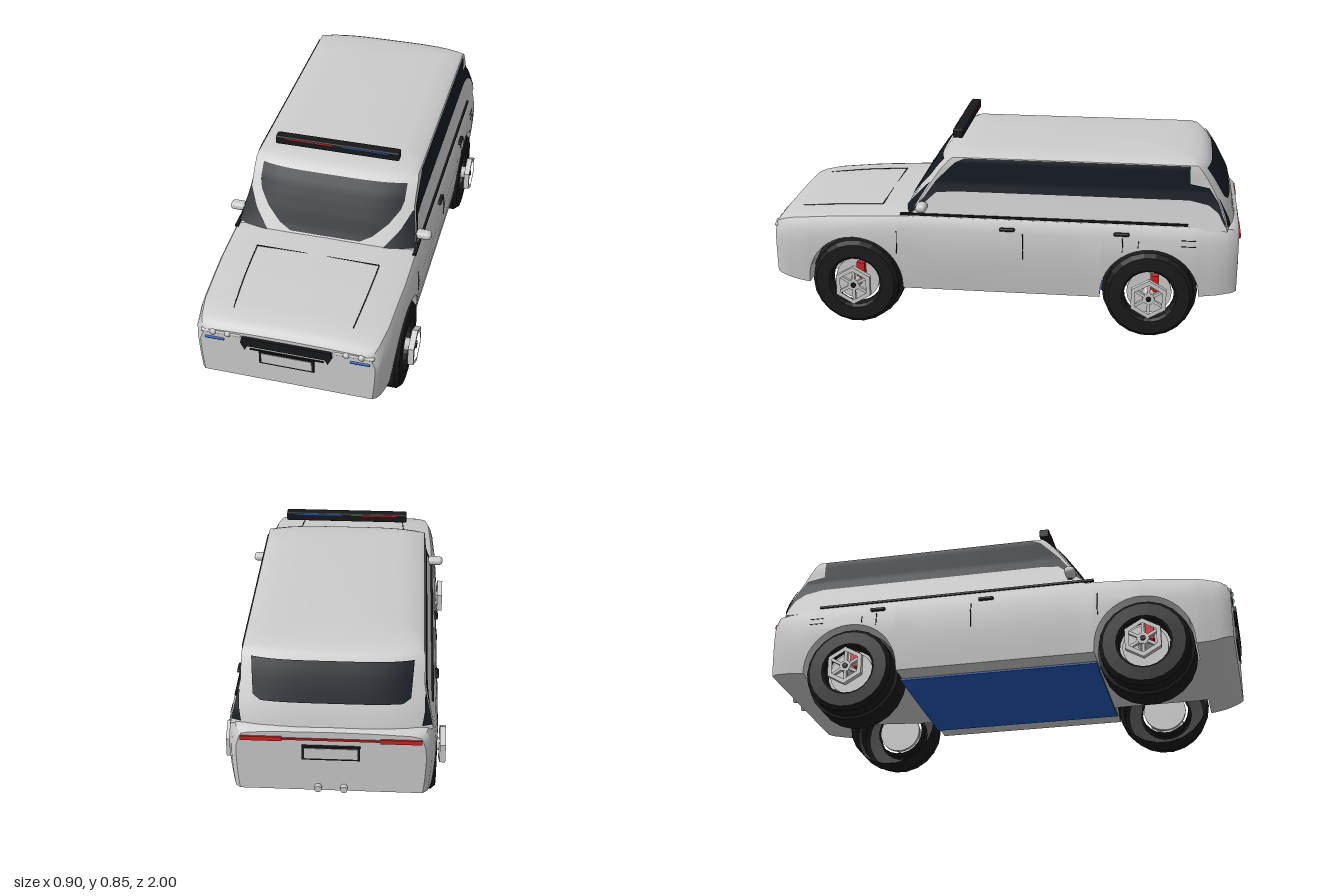
import * as THREE from 'three';
import { toCreasedNormals } from 'three/addons/utils/BufferGeometryUtils.js';
import { RoundedBoxGeometry } from 'three/addons/geometries/RoundedBoxGeometry.js';

const mat = (color, extra = {}) => new THREE.MeshStandardMaterial({ color, ...extra });
const DS = { side: THREE.DoubleSide };
const grey = mat(0xcccccc), black = mat(0x17181a), glass = mat(0x151b23, DS), red = mat(0xcc2222), blue = mat(0x2358b8);
const rubber = mat(0x1a1a1a, { ...DS, flatShading: true });

// Linear lookup in a table of [position, value], positions ascending
function lerp(table, t) {
  if (t <= table[0][0]) return table[0][1];
  for (let i = 1; i < table.length; i++) {
    const [a, va] = table[i - 1], [b, vb] = table[i];
    if (t <= b) return va + (vb - va) * (t - a) / (b - a);
  }
  return table[table.length - 1][1];
}

// Closed skin through rings of equal length, capped at both ends
function loft(rings, crease) {
  const n = rings[0].length, pos = rings.flat(2), idx = [];
  for (let i = 0; i < rings.length - 1; i++) for (let j = 0; j < n; j++) {
    const k = (j + 1) % n, a = i * n + j, b = i * n + k;
    idx.push(a, b, b + n, a, b + n, a + n);
  }
  [0, rings.length - 1].forEach((r, last) => {
    const c = [0, 1, 2].map(k => rings[r].reduce((s, p) => s + p[k], 0) / n);
    const ci = pos.length / 3;
    pos.push(...c);
    for (let j = 0; j < n; j++) {
      const a = r * n + j, b = r * n + (j + 1) % n;
      idx.push(ci, last ? a : b, last ? b : a);
    }
  });
  const g = new THREE.BufferGeometry();
  g.setAttribute('position', new THREE.Float32BufferAttribute(pos, 3));
  g.setIndex(idx);
  return toCreasedNormals(g, crease);
}

// Thin panel: rows of [u, v0, v1] laid on a surface map(u, v)
function panel(rows, map, sub = 4, across = 14) {
  const pos = [], idx = [], steps = (rows.length - 1) * sub;
  for (let i = 0; i <= steps; i++) {
    const r = Math.min(Math.floor(i / sub), rows.length - 2), f = i / sub - r;
    const [u, a, b] = rows[r].map((v, k) => v + (rows[r + 1][k] - v) * f);
    for (let j = 0; j <= across; j++) {
      pos.push(...map(u, a + (b - a) * j / across));
      if (i < steps && j < across) {
        const q = i * (across + 1) + j, w = q + across + 1;
        idx.push(q, q + 1, w + 1, q, w + 1, w);
      }
    }
  }
  const g = new THREE.BufferGeometry();
  g.setAttribute('position', new THREE.Float32BufferAttribute(pos, 3));
  g.setIndex(idx);
  g.computeVertexNormals();
  return g;
}

// Lower body shape along z
const wheelZ = [-0.62, 0.63], archR = 0.205;
const W = z => lerp([[-0.98, 0.365], [-0.96, 0.385], [-0.9, 0.402], [-0.8, 0.41], [0.6, 0.41], [0.85, 0.398], [0.94, 0.382], [0.97, 0.37], [0.985, 0.355]], z);
const T = z => lerp([[-0.98, 0.485], [-0.965, 0.5], [-0.9, 0.51], [0.43, 0.51], [0.7, 0.496], [0.88, 0.48], [0.94, 0.468], [0.97, 0.455], [0.985, 0.438]], z);
const bottom = z => lerp([[-0.98, 0.22], [-0.8, 0.2], [-0.45, 0.18], [0.8, 0.18], [0.9, 0.19], [0.985, 0.215]], z);
const bulge = y => y < 0.4 ? 1 - 0.035 * ((0.4 - y) / 0.2) ** 2 : 1 - 0.3 * (y - 0.4);
const sideX = (y, z) => W(z) * bulge(y);

function bodySection(z) {
  const w = W(z), t = T(z), yb = bottom(z);
  let ya = yb;
  for (const c of wheelZ) if (Math.abs(z - c) <= archR) ya = 0.2 + Math.sqrt(archR ** 2 - (z - c) ** 2);
  const half = [[0.215, yb], [0.215, ya]];
  for (let k = 0; k <= 4; k++) {
    const y = ya + (t - 0.06 - ya) * k / 4;
    half.push([w * bulge(y), y]);
  }
  half.push([w * 0.968, t - 0.028], [w * 0.94, t - 0.008], [w * 0.86, t], [w * 0.45, t + 0.006]);
  const right = half.map(([x, y]) => [x, y, z]);
  const left = half.map(([x, y]) => [-x, y, z]).reverse();
  return [[0, yb, z], ...right, [0, t + 0.008, z], ...left];
}

// Cabin shape by height: windscreen, tailgate and half width
const zf = y => lerp([[0.49, 0.44], [0.55, 0.4], [0.6, 0.37], [0.65, 0.338], [0.7, 0.304], [0.74, 0.268], [0.755, 0.25], [0.767, 0.225], [0.776, 0.185], [0.782, 0.1]], y);
const zr = y => lerp([[0.49, -0.968], [0.55, -0.955], [0.6, -0.935], [0.65, -0.91], [0.7, -0.882], [0.74, -0.855], [0.755, -0.84], [0.767, -0.815], [0.776, -0.77], [0.782, -0.65]], y);
const hw = y => lerp([[0.49, 0.388], [0.55, 0.374], [0.6, 0.361], [0.65, 0.351], [0.74, 0.35], [0.755, 0.346], [0.767, 0.325], [0.776, 0.25], [0.782, 0.12]], y);
const bow = (x, y) => 0.04 * Math.min(1, Math.abs(x) / hw(y)) ** 4;
const frontZ = (x, y) => zf(y) - bow(x, y), rearZ = (x, y) => zr(y) + bow(x, y);

function cabinRing(y) {
  const h = hw(y), ring = [], n = 16, m = 8;
  for (let i = 0; i <= n; i++) { const x = -h + 2 * h * i / n; ring.push([x, y, frontZ(x, y)]); }
  const a = frontZ(h, y), b = rearZ(h, y);
  for (let i = 1; i < m; i++) ring.push([h, y, a + (b - a) * i / m]);
  for (let i = 0; i <= n; i++) { const x = h - 2 * h * i / n; ring.push([x, y, rearZ(x, y)]); }
  for (let i = 1; i < m; i++) ring.push([-h, y, b + (a - b) * i / m]);
  return ring;
}

// Wheel with its axle on x, outside towards +x, axle centre at the origin of the group
function makeWheel(add) {
  const wheel = new THREE.Group();
  wheel.name = 'wheel';
  const turn = (name, g, m, x = 0) => add(name, g.rotateZ(-Math.PI / 2), m, x, 0, 0, wheel);
  const profile = [[0.2, 0.22], [0.2, 0.33], [0.186, 0.335], [0.186, 0.392], [0.17, 0.41], [0.115, 0.412], [0.105, 0.4], [0.105, 0.35]];
  turn('tyre', new THREE.LatheGeometry(profile.map(p => new THREE.Vector2(...p)), 22), rubber);
  turn('rimDisc', new THREE.CylinderGeometry(0.094, 0.094, 0.015, 28), grey, 0.352);
  turn('hub', new THREE.CylinderGeometry(0.026, 0.03, 0.08, 6), grey, 0.4);
  turn('hubCap', new THREE.CylinderGeometry(0.011, 0.011, 0.01, 12), black, 0.442);
  // hexagonal outer ring with spokes
  const hex = (shape, r) => {
    const pts = [...Array(6)].map((_, i) => new THREE.Vector2(r * Math.sin(i * Math.PI / 3), r * Math.cos(i * Math.PI / 3)));
    return shape.setFromPoints(pts);
  };
  const ring = hex(new THREE.Shape(), 0.084);
  ring.holes.push(hex(new THREE.Path(), 0.064));
  add('rimRing', new THREE.ExtrudeGeometry(ring, { depth: 0.024, bevelEnabled: false }).rotateY(Math.PI / 2), grey, 0.425, 0, 0, wheel);
  for (let i = 0; i < 6; i++)
    add('spoke', new THREE.BoxGeometry(0.016, 0.05, 0.012).translate(0, 0.045, 0).rotateX(i * Math.PI / 3), grey, 0.43, 0, 0, wheel);
  add('brakeCaliper', new THREE.BoxGeometry(0.03, 0.07, 0.035), red, 0.38, 0.05, -0.022, wheel);
  return wheel;
}

export function createModel() {
  const car = new THREE.Group();
  car.name = 'car';
  const add = (name, g, m, x = 0, y = 0, z = 0, parent = car) => {
    const mesh = new THREE.Mesh(g, m);
    mesh.name = name;
    mesh.position.set(x, y, z);
    parent.add(mesh);
    return mesh;
  };
  const box = (name, m, w, h, d, x, y, z) => add(name, new THREE.BoxGeometry(w, h, d), m, x, y, z);
  const rod = (name, pts, r, m) => add(name, new THREE.TubeGeometry(new THREE.CatmullRomCurve3(pts.map(p => new THREE.Vector3(...p))), 24, r, 5), m);

  // Lower body, with extra sections around the wheel arches
  const zs = [-0.98, -0.96, -0.93, -0.9, -0.86, 0.3, 0.1, -0.1, -0.3, 0.85, 0.88, 0.91, 0.94, 0.97, 0.985];
  for (const c of wheelZ) {
    zs.push(c - archR - 0.001, c + archR + 0.001);
    for (let i = 0; i <= 20; i++) zs.push(c - archR * 0.9999 * Math.cos(i * Math.PI / 20));
  }
  add('body', loft(zs.sort((a, b) => a - b).map(bodySection), 0.6), grey);
  add('cabin', loft([0.49, 0.55, 0.6, 0.65, 0.7, 0.74, 0.755, 0.767, 0.776, 0.782].map(cabinRing), 0.6), grey);
  box('floor', blue, 0.6, 0.01, 0.84, 0, 0.177, 0);

  // Windscreen and rear window
  const e = 0.006;
  const onFront = (y, x) => [x, y, frontZ(x, y) + e], onRear = (y, x) => [x, y, rearZ(x, y) - e];
  const wide = rows => rows.map(([y, x]) => [y, -x, x]);
  add('windscreen', panel(wide([[0.527, 0.15], [0.55, 0.2], [0.6, 0.26], [0.65, 0.3], [0.68, 0.31], [0.738, 0.31]]), onFront, 4, 24), glass);
  add('rearWindow', panel(wide([[0.598, 0.27], [0.615, 0.3], [0.738, 0.31]]), onRear, 6, 24), glass);

  const sideGlass = [[0.385, 0.515, 0.525], [0.33, 0.56, 0.585], [0.28, 0.605, 0.655], [0.2, 0.612, 0.735], [0.16, 0.612, 0.753],
    [-0.77, 0.612, 0.753], [-0.772, 0.612, 0.68], [-0.85, 0.595, 0.665], [-0.89, 0.565, 0.605], [-0.92, 0.51, 0.525]];
  for (const s of [1, -1]) {
    // Side glass and its corners
    add('sideWindow', panel(sideGlass, (z, y) => [s * (hw(y) + 0.004), y, z]), glass);
    add('frontQuarterGlass', panel([[0.515, 0.25, 0.382], [0.58, 0.31, 0.367], [0.645, 0.348, 0.353]], (y, x) => onFront(y, s * x)), glass);
    add('rearQuarterGlass', panel([[0.51, 0.345, 0.383], [0.56, 0.353, 0.373], [0.62, 0.353, 0.358]], (y, x) => onRear(y, s * x)), glass);

    // Belt trim, door handles, seams and filler flap
    box('beltTrim', black, 0.014, 0.009, 1.2, s * 0.384, 0.512, -0.17);
    for (const z of [-0.025, -0.5]) add('doorHandle', new RoundedBoxGeometry(0.02, 0.014, 0.065, 2, 0.006), black, s * 0.404, 0.466, z);
    for (const [z, y0, y1] of [[0.445, 0.34, 0.44], [-0.09, 0.34, 0.45], [-0.505, 0.39, 0.45], [-0.57, 0.41, 0.44]])
      rod('doorSeam', [y0, (y0 + y1) / 2, y1].map(y => [s * sideX(y, z), y, z]), 0.002, black);
    for (const y of [0.425, 0.45]) box('fillerFlapEdge', black, 0.004, 0.003, 0.06, s * sideX(y, -0.775), y, -0.775);

    // Mirror
    add('mirror', new RoundedBoxGeometry(0.068, 0.034, 0.045, 4, 0.016), grey, s * 0.402, 0.55, 0.335);
    box('mirrorArm', black, 0.03, 0.014, 0.02, s * 0.372, 0.537, 0.33);

    // Bonnet seam
    rod('bonnetSeam', [[0.26, 0.53], [0.255, 0.7], [0.248, 0.82], [0.243, 0.89]].map(([x, z]) => [s * x, T(z) + 0.004, z]), 0.002, black);

    // Headlights and daytime lamps
    add('headlightStrip', new RoundedBoxGeometry(0.165, 0.014, 0.03, 2, 0.006), grey, s * 0.268, 0.426, 0.974);
    for (const x of [0.24, 0.3]) add('headlight', new THREE.SphereGeometry(0.014, 16, 10), grey, s * x, 0.426, 0.982);
    add('daytimeLamp', new RoundedBoxGeometry(0.08, 0.012, 0.012, 2, 0.005), blue, s * 0.295, 0.395, 0.984);

    // Tail lamps and exhausts
    box('tailLamp', red, 0.16, 0.018, 0.012, s * 0.268, 0.46, -0.981);
    add('exhaust', new THREE.CylinderGeometry(0.014, 0.014, 0.06, 16).rotateX(Math.PI / 2), grey, s * 0.05, 0.237, -0.97);

    for (const z of wheelZ) {
      const wheel = makeWheel(add);
      wheel.position.set(0, 0.2, z);
      wheel.rotation.y = s > 0 ? 0 : Math.PI;
      car.add(wheel);
    }
  }
  box('bonnetRearSeam', black, 0.52, 0.003, 0.004, 0, T(0.53) + 0.006, 0.53);
  box('tailLampStrip', red, 0.4, 0.008, 0.01, 0, 0.46, -0.98);

  // Grille and number plates
  const grille = new THREE.Shape([[-0.18, 0.43], [-0.185, 0.405], [-0.168, 0.37], [-0.158, 0.392], [0.158, 0.392], [0.168, 0.37], [0.185, 0.405], [0.18, 0.43]].map(p => new THREE.Vector2(...p)));
  add('grille', new THREE.ExtrudeGeometry(grille, { depth: 0.03, bevelEnabled: false }), black, 0, 0, 0.968);
  box('grilleLowerBar', black, 0.3, 0.006, 0.008, 0, 0.37, 0.985);
  for (const [y, z, s] of [[0.34, 0.986, 1], [0.402, -0.984, -1]]) {
    box('plateFrame', black, 0.224, 0.062, 0.014, 0, y, z);
    box('plate', grey, 0.204, 0.046, 0.006, 0, y, z + s * 0.006);
  }

  // Roof light bar
  add('lightBar', new RoundedBoxGeometry(0.53, 0.038, 0.042, 2, 0.006), black, 0, 0.834, 0.2);
  for (const z of [0.1785, 0.2215]) for (const [m, x] of [[red, -0.12], [blue, 0.12]])
    box('lightBarLens', m, 0.2, 0.005, 0.002, x, 0.846, z);
  return car;
}
